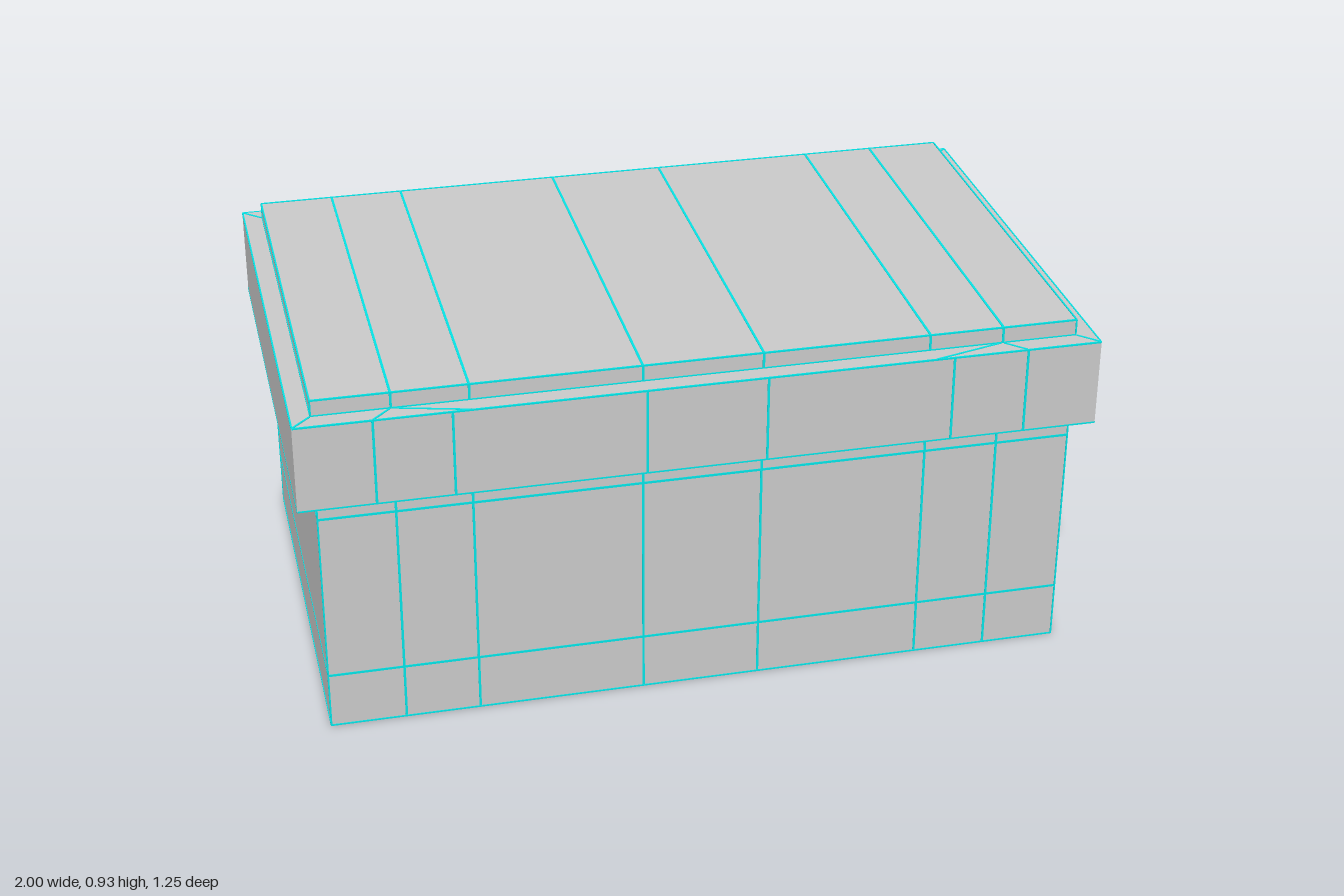
import * as THREE from 'three';

export function createModel() {
  const model = new THREE.Group();
  model.name = 'shopBuilding';
  const mat = (name, color) => {
    const m = new THREE.MeshStandardMaterial({ color });
    m.name = name;
    return m;
  };
  const grey = mat('wallGrey', 0xcacaca);
  const teal = mat('glassTeal', 0x04e4e6);

  const add = (name, geometry, material) => {
    const mesh = new THREE.Mesh(geometry, material);
    mesh.name = name;
    model.add(mesh);
    return mesh;
  };
  // Box given by its minimum and maximum corners
  const box = (name, material, x0, x1, y0, y1, z0, z1) => {
    const mesh = add(name, new THREE.BoxGeometry(x1 - x0, y1 - y0, z1 - z0), material);
    mesh.position.set((x0 + x1) / 2, (y0 + y1) / 2, (z0 + z1) / 2);
    return mesh;
  };
  const rect = (PathType, x0, x1, y0, y1) => {
    const p = new PathType();
    p.moveTo(x0, y0);
    p.lineTo(x1, y0);
    p.lineTo(x1, y1);
    p.lineTo(x0, y1);
    p.closePath();
    return p;
  };

  const W = 0.95, BACK = -0.567, FRONT = 0.575;
  const INNER = BACK + 0.04;
  const h = 0.003; // half width of a panel seam
  const e = 0.0015; // how far a seam stands proud

  // Main walls, with the shopfront wall cut open on the -z side
  box('walls', grey, -W, W, 0, 0.66, INNER, FRONT);
  const openings = [[0.155, 0.757, 0.15, 0.6], [-0.757, -0.155, 0.15, 0.6], [-0.142, 0.138, 0.012, 0.6]];
  const shopfront = rect(THREE.Shape, -W, W, 0, 0.66);
  for (const o of openings) shopfront.holes.push(rect(THREE.Path, ...o));
  const wallGeo = new THREE.ExtrudeGeometry(shopfront, { depth: INNER - BACK, bevelEnabled: false });
  add('shopfrontWall', wallGeo, grey).position.z = BACK;

  // Rectangular border of width t, set into an opening
  const frame = (name, material, [x0, x1, y0, y1], t, z, depth) => {
    const s = rect(THREE.Shape, x0, x1, y0, y1);
    s.holes.push(rect(THREE.Path, x0 + t, x1 - t, y0 + t, y1 - t));
    add(name, new THREE.ExtrudeGeometry(s, { depth, bevelEnabled: false }), material).position.z = z;
  };

  // Two shop windows with a mullion line, and the glazed door
  openings.forEach((o, i) => {
    const door = i === 2;
    const name = door ? 'door' : 'window';
    const z = INNER - (door ? 0.006 : 0.016);
    box(name + 'Glass', teal, ...o, z, INNER + 0.001);
    frame(name + 'Frame', grey, o, 0.007, z - 0.008, 0.008);
    frame(name + 'Seam', teal, [o[0] - h, o[1] + h, o[2] - h, o[3] + h], h * 2, BACK - e, 0.003);
    if (!door) {
      const x = i === 0 ? 0.57 : -0.57;
      box('mullion', teal, x - h, x + h, o[2] + 0.007, o[3] - 0.007, z - 0.004, z);
    }
  });
  const dz = INNER - 0.006;
  box('doorRail', grey, -0.135, 0.131, 0.31, 0.328, dz - 0.008, dz);
  box('doorKickRail', grey, -0.135, 0.131, 0.019, 0.032, dz - 0.008, dz);
  box('letterPlate', grey, -0.06, 0.05, 0.46, 0.5, dz - 0.008, dz);
  box('letterSlot', teal, -0.045, 0.035, 0.474, 0.486, dz - 0.01, dz - 0.007);

  // Overhanging fascia and roof slab
  const FB = -0.613, FF = 0.625;
  box('fascia', grey, -1, 1, 0.655, 0.883, FB, FF);
  box('roofSlab', grey, -W, W, 0.883, 0.925, BACK, FRONT);

  // Round blank sign over the door
  const sign = add('roundSign', new THREE.CylinderGeometry(0.1, 0.1, 0.014, 32), teal);
  sign.rotation.x = Math.PI / 2;
  sign.position.set(0, 0.768, FB - 0.005);

  // Vertical seams on the front wall, and seams across the roof
  for (const x of [-0.76, -0.572, -0.15, 0.15, 0.572, 0.76]) {
    box('frontSeam', teal, x - h, x + h, 0.005, 0.655, FRONT - e, FRONT + e);
    box('roofSeam', teal, x - h, x + h, 0.924, 0.925 + e, BACK, FRONT);
    for (const z of [BACK, FRONT])
      box('roofEdgeSeam', teal, x - h, x + h, 0.883, 0.925, z - e, z + e);
  }
  for (const s of [-1, 1]) {
    // Vertical seams on the rear wall and the fascia
    box('rearSeam', teal, s * 0.76 - h, s * 0.76 + h, 0.005, 0.655, BACK - e, BACK + e);
    for (const x of [0.15, 0.62, 0.81])
      for (const z of [FB, FF])
        box('fasciaSeam', teal, s * x - h, s * x + h, 0.658, 0.88, z - e, z + e);
    // Side wall seams
    for (const y of [0.15, 0.6])
      box('sideSeam', teal, s * W - e, s * W + e, y - 0.002, y + 0.002, BACK, FRONT);
  }
  // Horizontal seams on the front and on the rear corner panels
  for (const y of [0.15, 0.6]) {
    box('frontSeam', teal, -W, W, y - h, y + h, FRONT - e, FRONT + e);
    for (const s of [-1, 1])
      box('rearSeam', teal, s * 0.855 - 0.095, s * 0.855 + 0.095, y - h, y + h, BACK - e, BACK + e);
  }

  // Fine trim along the wall corners, wall foot, fascia and roof rim
  const t = 0.002;
  for (const x of [-W, W])
    for (const z of [BACK, FRONT]) {
      box('cornerTrim', teal, x - t, x + t, 0, 0.655, z - t, z + t);
      box('roofCornerTrim', teal, x - t, x + t, 0.883, 0.925, z - t, z + t);
    }
  const rim = (name, w, y, z0, z1) => {
    for (const z of [z0, z1]) box(name, teal, -w, w, y - t, y + t, z - t, z + t);
    for (const x of [-w, w]) box(name, teal, x - t, x + t, y - t, y + t, z0, z1);
  };
  rim('wallFootTrim', W, 0.002, BACK, FRONT);
  rim('roofRim', W, 0.925, BACK, FRONT);
  rim('roofFootTrim', W, 0.884, BACK, FRONT);
  rim('fasciaTopTrim', 0.999, 0.882, FB, FF - 0.001);
  rim('fasciaFootTrim', 0.999, 0.657, FB, FF - 0.001);

  // Mitre lines on the fascia ledge corners
  for (const sx of [-1, 1])
    for (const [zi, zo] of [[BACK, FB], [FRONT, FF]]) {
      for (const [xi, xo] of [[W, 1], [0.76, 0.81], [0.76, 0.572]]) {
        const dx = sx * (xo - xi), d = zo - zi;
        const line = add('ledgeSeam', new THREE.BoxGeometry(Math.hypot(dx, d) - 0.008, 0.003, 0.005), teal);
        line.position.set(sx * (xi + xo) / 2, 0.883, (zi + zo) / 2);
        line.rotation.y = -Math.atan2(d, dx);
      }
    }
  return model;
}
